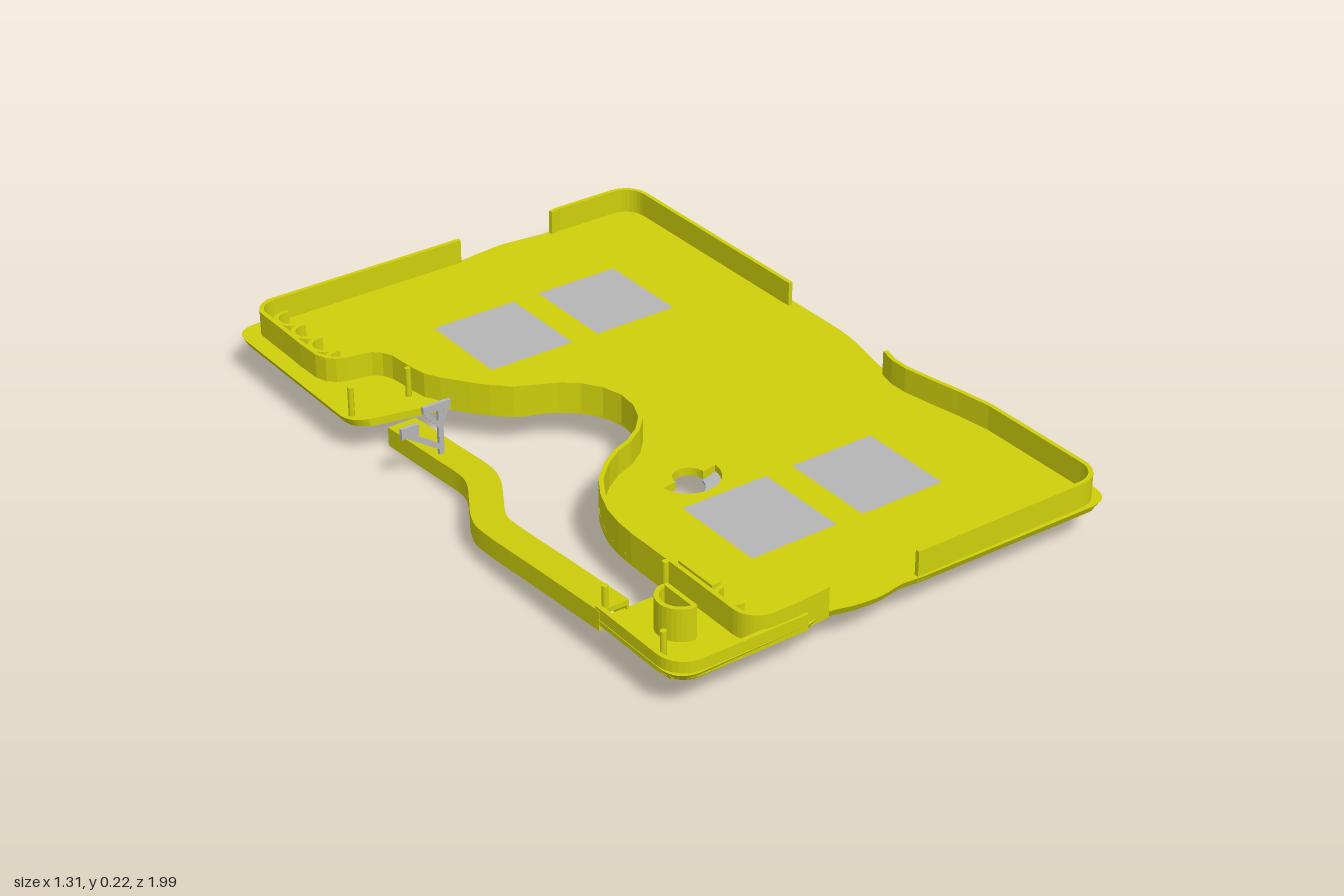
import * as THREE from 'three';

const yellow = new THREE.MeshStandardMaterial({ color: 0xcfcf0c });
yellow.name = 'yellow';
const grey = new THREE.MeshStandardMaterial({ color: 0xb6b6b6 });
grey.name = 'grey';

const FLOOR = 0.114, BASE = 0.092, TALL = 0.183;

export function createModel() {
  const model = new THREE.Group();
  const add = (name, geometry, material = yellow) => {
    const mesh = new THREE.Mesh(geometry, material);
    mesh.name = name;
    model.add(mesh);
    return mesh;
  };
  const vec = ([x, z]) => new THREE.Vector2(x, z);

  // Extrude a plan shape (x, z) downward from one height to another
  const slab = (shape, top, bottom) => {
    const g = new THREE.ExtrudeGeometry(shape, { depth: top - bottom, bevelEnabled: false, curveSegments: 16 });
    return g.rotateX(Math.PI / 2).translate(0, top, 0);
  };

  // Plan shape of a band that follows a path, between two side offsets
  const band = (points, a, b, smooth = true, n = 70) => {
    const curve = new THREE.SplineCurve(points.map(vec));
    const pts = smooth ? curve.getPoints(n) : points.map(vec);
    const side = (d) => pts.map((p, i) => {
      const t = pts[Math.min(i + 1, pts.length - 1)].clone().sub(pts[Math.max(i - 1, 0)]).normalize();
      return new THREE.Vector2(p.x - t.y * d, p.y + t.x * d);
    });
    return new THREE.Shape([...side(a), ...side(b).reverse()]);
  };
  const wall = (name, points, top = TALL, smooth = true, bottom = 0.1) =>
    add(name, slab(band(points, -0.006, 0.006, smooth), top, bottom));

  const rectangle = (x0, x1, z0, z1) =>
    new THREE.Path([[x0, z0], [x1, z0], [x1, z1], [x0, z1]].map(vec));
  const arc = (cx, cz, r, a0, a1, n = 12) => Array.from({ length: n + 1 }, (_, i) => {
    const a = a0 + (a1 - a0) * i / n;
    return [cx + r * Math.cos(a), cz + r * Math.sin(a)];
  });

  // Floor outline, with wavy edges and the bay on the left
  const bay = [[-0.39, -0.335], [-0.35, -0.28], [-0.28, -0.21], [-0.19, -0.17], [-0.115, -0.1],
    [-0.085, 0], [-0.115, 0.1], [-0.19, 0.17], [-0.28, 0.21], [-0.37, 0.29], [-0.425, 0.4], [-0.442, 0.5]];
  const s = new THREE.Shape();
  s.moveTo(-0.585, -0.995);
  s.lineTo(0.03, -0.995);
  s.splineThru([[0.06, -0.982], [0.13, -0.99], [0.21, -0.995], [0.34, -0.982], [0.38, -0.995]].map(vec));
  s.lineTo(0.585, -0.995);
  s.quadraticCurveTo(0.655, -0.995, 0.655, -0.925);
  s.lineTo(0.655, -0.05);
  s.splineThru([[0.645, 0.03], [0.62, 0.14], [0.612, 0.2], [0.618, 0.26], [0.64, 0.37], [0.655, 0.45]].map(vec));
  s.lineTo(0.655, 0.925);
  s.quadraticCurveTo(0.655, 0.995, 0.585, 0.995);
  s.lineTo(0.06, 0.99);
  s.splineThru([[0, 0.985], [-0.07, 0.995], [-0.14, 0.99], [-0.21, 0.975], [-0.28, 0.99]].map(vec));
  s.lineTo(-0.585, 0.995);
  s.quadraticCurveTo(-0.655, 0.995, -0.655, 0.925);
  s.lineTo(-0.655, 0.688);
  s.lineTo(-0.442, 0.688);
  s.lineTo(-0.442, 0.5);
  s.splineThru([...bay].reverse().slice(1).map(vec));
  s.lineTo(-0.41, -0.345);
  s.lineTo(-0.6, -0.385);
  s.quadraticCurveTo(-0.655, -0.4, -0.655, -0.45);
  s.lineTo(-0.655, -0.925);
  s.quadraticCurveTo(-0.655, -0.995, -0.585, -0.995);

  // Openings: four pads, a round window and the D-shaped socket
  const pads = [];
  for (const [x0, x1] of [[-0.215, 0.04], [0.12, 0.37]])
    for (const [z0, z1] of [[-0.695, -0.415], [0.42, 0.695]]) pads.push([x0, x1, z0, z1]);
  pads.forEach((p) => s.holes.push(rectangle(...p)));
  s.holes.push(new THREE.Path([
    ...arc(-0.115, 0.305, 0.085, 0, Math.PI * 0.95, 20),
    ...arc(-0.115, 0.312, 0.042, Math.PI, Math.PI * 2, 14)].map(vec)));
  const dArc = arc(-0.52, 0.825, 0.055, Math.PI / 2, Math.PI * 1.5, 16);
  s.holes.push(new THREE.Path(dArc.map(vec)));

  // Floor with its outer lip tapering in toward the bottom
  const floor = slab(s, FLOOR, BASE);
  const pos = floor.attributes.position;
  for (let i = 0; i < pos.count; i++) {
    if (pos.getY(i) > 0.1) continue;
    const x = pos.getX(i), z = pos.getZ(i);
    if (Math.abs(x) > 0.605) pos.setX(i, x - Math.sign(x) * 0.012);
    if (Math.abs(z) > 0.96) pos.setZ(i, z - Math.sign(z) * 0.012);
  }
  floor.computeVertexNormals();
  add('floor', floor);

  pads.forEach(([x0, x1, z0, z1]) =>
    add('pad', new THREE.BoxGeometry(x1 - x0, FLOOR - BASE, z1 - z0)
      .translate((x0 + x1) / 2, (FLOOR + BASE) / 2, (z0 + z1) / 2), grey));

  // Tall walls, broken at the wavy stretches of the edge
  wall('backAndBayWall', [
    [0.05, -0.977], [-0.25, -0.977], [-0.53, -0.977],
    ...arc(-0.54, -0.917, 0.06, -Math.PI / 2, -Math.PI, 6),
    [-0.6, -0.8], [-0.6, -0.66], [-0.58, -0.61], [-0.54, -0.59], [-0.48, -0.58], [-0.445, -0.54],
    [-0.436, -0.48], [-0.425, -0.4], ...bay.map(([x, z]) => [x + 0.006, z]),
    [-0.436, 0.6], [-0.436, 0.8], [-0.436, 0.91],
    ...arc(-0.376, 0.917, 0.06, Math.PI, Math.PI / 2, 6), [-0.3, 0.977], [-0.21, 0.97]], TALL, true);
  wall('backCornerWall', [[0.35, -0.972], [0.38, -0.977],
    ...arc(0.565, -0.909, 0.068, -Math.PI / 2, 0, 8), [0.633, -0.24]], TALL, false);
  wall('frontCornerWall', [[0.598, 0.2], [0.586, 0.25], [0.586, 0.3], [0.6, 0.38], [0.618, 0.47], [0.633, 0.57],
    ...arc(0.565, 0.909, 0.068, 0, Math.PI / 2, 8), [0.05, 0.977]], TALL, false);
  wall('lowFrontWall', [[-0.28, 0.984], ...arc(-0.58, 0.917, 0.067, Math.PI / 2, Math.PI, 8), [-0.647, 0.68]], 0.145, false);

  // Scalloped ribs beside the left corners
  for (let i = 0; i < 4; i++)
    wall('scallop', arc(-0.525, -0.91 + i * 0.088, 0.04, Math.PI * 0.4, Math.PI * 1.6), 0.15, false);
  wall('scallop', arc(-0.375, 0.83, 0.04, Math.PI * 0.5, Math.PI * 1.5), 0.15, false);
  wall('scallop', arc(-0.335, 0.965, 0.035, Math.PI, Math.PI * 2), 0.15, false);
  add('rib', new THREE.BoxGeometry(0.025, 0.05, 0.13).translate(-0.385, 0.13, 0.715));

  // D-shaped socket and locating posts
  wall('socket', [...dArc, dArc[0]], 0.202, false, BASE);
  for (const [x, z] of [[-0.63, 0.685], [-0.46, 0.685], [-0.63, 0.91], [-0.63, -0.43], [-0.46, -0.43]])
    add('post', new THREE.CylinderGeometry(0.008, 0.008, 0.095, 12).translate(x, 0.148, z));

  // Handle: a channel open below, sloping down toward the back
  const path = [[-0.612, 0.695], [-0.612, 0.45], [-0.612, 0.22], [-0.597, 0.15], [-0.555, 0.075],
    [-0.513, 0], [-0.496, -0.07], [-0.496, -0.2], [-0.496, -0.41]];
  const slope = (g) => {
    const p = g.attributes.position;
    for (let i = 0; i < p.count; i++) p.setY(i, p.getY(i) + (p.getZ(i) - 0.69) * 0.075);
    g.computeVertexNormals();
    return g;
  };
  add('handleTop', slope(slab(band(path, -0.042, 0.042), 0.138, 0.124)));
  for (const d of [-1, 1])
    add('handleSide', slope(slab(band(path, d * 0.042, d * 0.034), 0.138, 0.084)));

  // Forked bracket standing on the handle
  const bar = (x0, y0, x1, y1, w) => {
    const g = new THREE.BoxGeometry(Math.hypot(x1 - x0, y1 - y0), w, 0.01);
    return g.rotateZ(Math.atan2(y1 - y0, x1 - x0)).translate((x0 + x1) / 2, (y0 + y1) / 2, -0.2);
  };
  for (const b of [[-0.56, 0.21, -0.48, 0.21, 0.02], [-0.51, 0.06, -0.51, 0.205, 0.014],
    [-0.485, 0.205, -0.51, 0.16, 0.012], [-0.555, 0.205, -0.51, 0.15, 0.012],
    [-0.62, 0.165, -0.51, 0.09, 0.014], [-0.625, 0.165, -0.575, 0.165, 0.03]])
    add('bracket', bar(...b), grey);

  // Curved ramp hanging under the round window
  const ramp = slab(new THREE.Shape([
    ...arc(-0.115, 0.305, 0.085, 0, Math.PI / 2), ...arc(-0.115, 0.305, 0.045, Math.PI / 2, 0)].map(vec)), 0.096, 0.09);
  const rp = ramp.attributes.position;
  for (let i = 0; i < rp.count; i++)
    rp.setY(i, rp.getY(i) - 0.026 * Math.min(1, (-0.03 - rp.getX(i)) / 0.085));
  ramp.computeVertexNormals();
  add('ramp', ramp, grey);

  return model;
}
